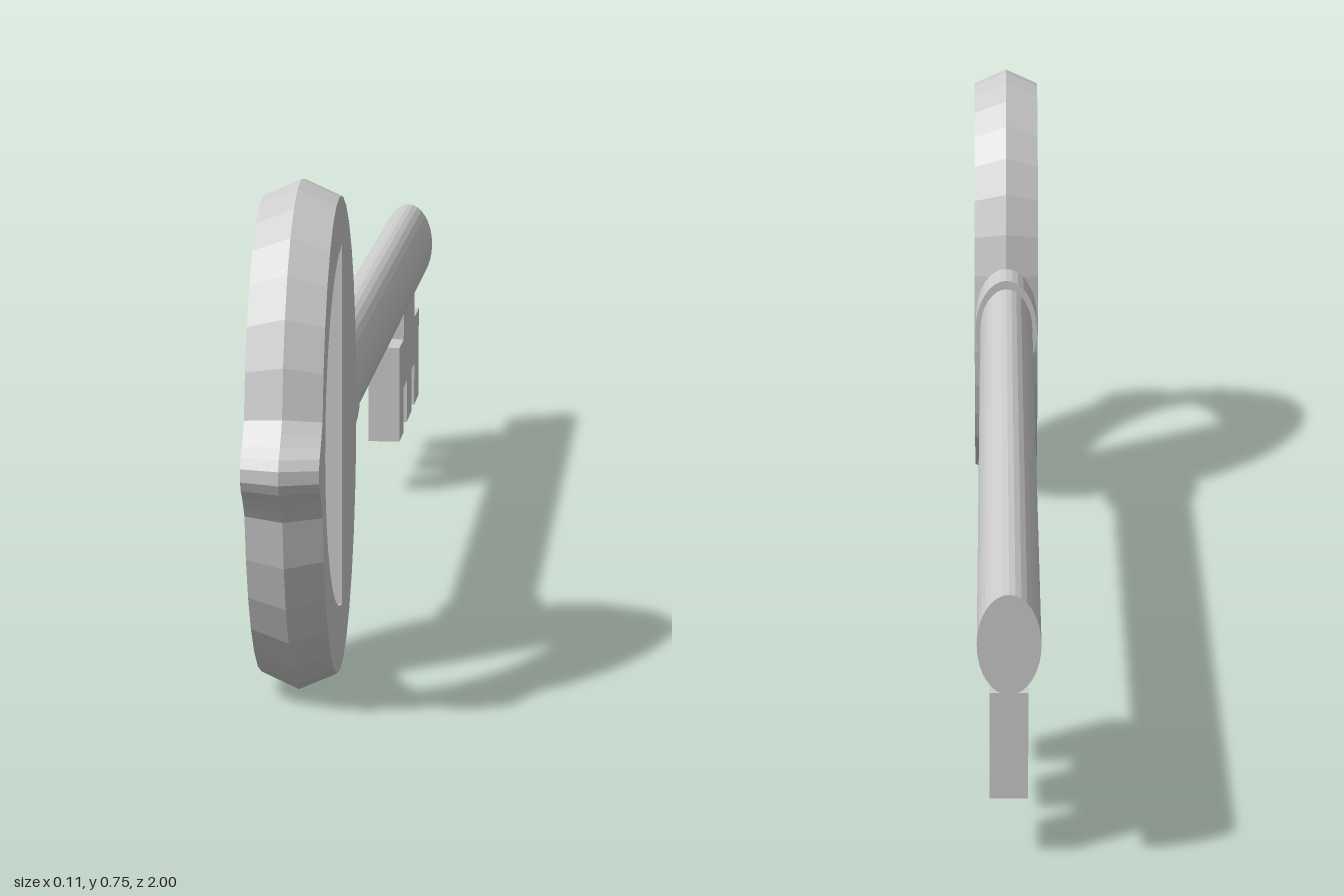
import * as THREE from 'three';

const mat = new THREE.MeshStandardMaterial({ color: 0xcccccc, flatShading: true });
const BOW = { z: 0.711, y: 0.378, rz: 0.245, ry: 0.375, half: 0.055 };

function part(name, geometry) {
  const m = new THREE.Mesh(geometry, mat);
  m.name = name;
  return m;
}

// Elliptical rod along z
function rod(name, rx, ry, z0, z1) {
  const g = new THREE.CylinderGeometry(ry, ry, z1 - z0, 32);
  g.rotateX(Math.PI / 2).scale(rx / ry, 1, 1).translate(0, 0.373, (z0 + z1) / 2);
  return part(name, g);
}

// Extrudes a side profile (drawn with -z to the right, y up) across x
function plate(name, shape, thickness) {
  const g = new THREE.ExtrudeGeometry(shape, { depth: thickness, bevelEnabled: false });
  g.translate(0, 0, -thickness / 2).rotateY(Math.PI / 2);
  return part(name, g);
}

// Oval outline around its own centre, with a small rounded nub at the front
function bowOutline() {
  const pts = [];
  for (let i = 1; i < 32; i++) {
    const a = Math.PI + (i / 32) * Math.PI * 2;
    pts.push(new THREE.Vector2(Math.cos(a) * BOW.rz, Math.sin(a) * BOW.ry));
  }
  const nub = [[0.252, 0.056], [0.265, 0.04], [0.28, 0.025], [0.288, 0.01]];
  for (const [u, v] of nub) pts.push(new THREE.Vector2(-u, v));
  for (const [u, v] of nub.reverse()) pts.push(new THREE.Vector2(-u, -v));
  return pts;
}

// Peaked rim joining the two flat faces through a wider middle ridge
function rimGeometry(face, ridge) {
  const pos = [], idx = [], n = ridge.length;
  [[face, -BOW.half], [ridge, 0], [face, BOW.half]].forEach(([loop, x]) => {
    for (const p of loop) pos.push(x, p.y + BOW.y, BOW.z - p.x);
  });
  for (let k = 0; k < 2; k++) {
    for (let i = 0; i < n; i++) {
      const j = (i + 1) % n;
      const a = k * n + i, b = k * n + j;
      idx.push(a, b, b + n, a, b + n, a + n);
    }
  }
  const g = new THREE.BufferGeometry();
  g.setAttribute('position', new THREE.Float32BufferAttribute(pos, 3));
  g.setIndex(idx);
  g.computeVertexNormals();
  return g;
}

function createBow() {
  const bow = new THREE.Group();
  bow.name = 'bow';
  const ridge = bowOutline();
  const face = ridge.map(p => new THREE.Vector2(p.x * 0.945, p.y * 0.934));
  const shape = new THREE.Shape(face.map(p => new THREE.Vector2(p.x - BOW.z, p.y + BOW.y)));

  // Finger hole: an oval cut off straight on the shaft side
  const hole = [], cz = 0.665, rz = 0.24, ry = 0.268, cut = 0.685;
  const start = Math.acos((cut - cz) / rz);
  for (let i = 0; i <= 16; i++) {
    const a = start - (i / 16) * 2 * start;
    hole.push(new THREE.Vector2(-(cz + Math.cos(a) * rz), 0.387 + Math.sin(a) * ry));
  }
  shape.holes.push(new THREE.Path(hole));

  bow.add(plate('bowPlate', shape, BOW.half * 2), part('bowRim', rimGeometry(face, ridge)));
  return bow;
}

// Toothed bit hanging under the far end of the shaft
function createBit() {
  const outline = [
    [0.53, 0.097], [0.607, 0.097], [0.607, 0.179], [0.675, 0.179], [0.675, 0.102],
    [0.773, 0.102], [0.773, 0.179], [0.826, 0.179], [0.826, 0.102], [0.918, 0.102],
    [0.918, 0.266], [0.824, 0.266], [0.824, 0.34], [0.61, 0.34], [0.61, 0.266], [0.53, 0.266],
  ];
  return plate('bit', new THREE.Shape(outline.map(p => new THREE.Vector2(...p))), 0.055);
}

export function createModel() {
  const key = new THREE.Group();
  key.name = 'key';
  key.add(
    createBow(),
    rod('collar', 0.053, 0.09, 0.405, 0.5),
    rod('shaft', 0.045, 0.075, -1, 0.45),
    createBit(),
  );
  return key;
}
